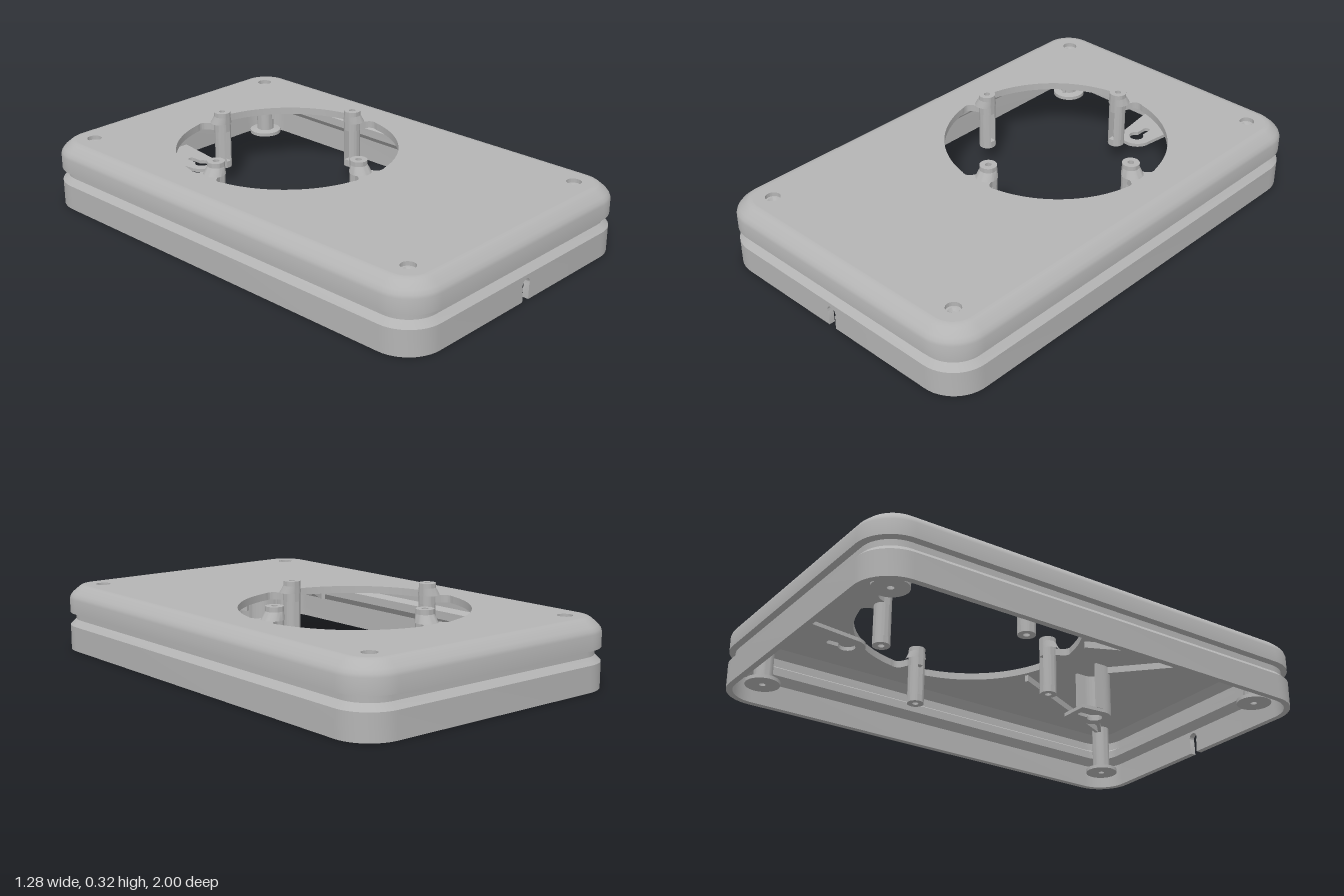
import * as THREE from 'three';
import { toCreasedNormals } from 'three/addons/utils/BufferGeometryUtils.js';

const HX = 0.64, HZ = 1, CORNER = 0.15, TOP = 0.275, HOLE_Z = -0.215;

// Rounded rectangle loop at a given inset, from front centre round to front centre
function outline(inset, gap = 0) {
  const r = CORNER - inset, cx = HX - CORNER, cz = HZ - CORNER, pts = [[-gap, HZ - inset]];
  [[-1, 1], [-1, -1], [1, -1], [1, 1]].forEach(([sx, sz], k) => {
    for (let i = 0; i <= 12; i++) {
      const a = Math.PI / 2 * (k + 1 + i / 12);
      pts.push([sx * cx + r * Math.cos(a), sz * cz + r * Math.sin(a)]);
    }
  });
  pts.push([gap, HZ - inset]);
  return pts;
}

// Sweep a closed profile of [inset, y] pairs round the outline
function sweepWall(profile, gap) {
  const pos = [], index = [], m = profile.length;
  const loops = profile.map(([inset]) => outline(inset, gap));
  const n = loops[0].length;
  for (let i = 0; i < n; i++)
    for (let j = 0; j < m; j++) pos.push(loops[j][i][0], profile[j][1], loops[j][i][1]);
  for (let i = 0; i < n - 1; i++)
    for (let j = 0; j < m; j++) {
      const a = i * m + j, b = i * m + (j + 1) % m;
      index.push(a, b, b + m, a, b + m, a + m);
    }
  const g = new THREE.BufferGeometry();
  g.setAttribute('position', new THREE.Float32BufferAttribute(pos, 3));
  g.setIndex(index);
  return g;
}

// Horizontal plate from a shape drawn in x, z
function slab(shape, yTop, depth) {
  const g = new THREE.ExtrudeGeometry(shape, { depth, bevelEnabled: false, curveSegments: 24 });
  return g.rotateX(Math.PI / 2).translate(0, yTop, 0);
}

function circlePath(x, z, r) {
  return new THREE.Path().absarc(x, z, r, 0, Math.PI * 2, true);
}

export function createModel() {
  const model = new THREE.Group();
  model.name = 'wallPlateHousing';
  const grey = new THREE.MeshStandardMaterial({ color: 0xb4b4b4 });
  grey.name = 'grey plastic';
  const add = (name, geometry, parent = model) => {
    const mesh = new THREE.Mesh(toCreasedNormals(geometry, 0.6), grey);
    mesh.name = name;
    parent.add(mesh);
    return mesh;
  };

  // Walls: plain skirt below, grooved and chamfered band above
  add('lowerWall', sweepWall([[0, 0], [0, 0.105], [0.025, 0.105], [0.025, 0]], 0.04));
  add('upperWall', sweepWall([
    [0, 0.105], [0.025, 0.13], [0.025, 0.155], [0, 0.16], [0, 0.22], [0.004, 0.232], [0.014, 0.245],
    [0.04, 0.267], [0.05, 0.273], [0.065, TOP], [0.065, 0.245], [0.03, 0.215], [0.03, 0.18],
    [0.055, 0.165], [0.055, 0.13], [0.025, 0.1]]));

  // Cable notch in the front of the skirt
  const notch = new THREE.Shape();
  notch.moveTo(-0.04, 0);
  notch.lineTo(-0.018, 0);
  notch.absarc(0, 0.068, 0.022, Math.PI + 0.5, -0.5, true);
  notch.lineTo(0.018, 0);
  notch.lineTo(0.04, 0);
  notch.lineTo(0.04, 0.105);
  notch.lineTo(-0.04, 0.105);
  add('cableNotch', new THREE.ExtrudeGeometry(notch, { depth: 0.025, bevelEnabled: false })
    .translate(0, 0, HZ - 0.025));

  // Top plate with the large opening, four tabs and screw holes
  const bossSpots = [[-0.495, -0.86], [0.495, -0.86], [-0.495, 0.855], [0.495, 0.855]];
  const plate = new THREE.Shape(outline(0.065).slice(1, -1).map(([x, z]) => new THREE.Vector2(x, z)));
  const opening = new THREE.Path();
  const R = 0.457, spread = 0.2;
  for (let k = 0; k < 4; k++) {
    const phi = k * Math.PI / 2;
    const at = (u, v) => [u * Math.cos(phi) - v * Math.sin(phi), HOLE_Z + u * Math.sin(phi) + v * Math.cos(phi)];
    const ru = R * Math.cos(spread), rv = R * Math.sin(spread);
    if (k === 0) opening.moveTo(...at(ru, -rv));
    opening.quadraticCurveTo(...at(0.464, -0.058), ...at(0.425, -0.042));
    opening.lineTo(...at(0.41, -0.036));
    opening.lineTo(...at(0.41, 0.036));
    opening.lineTo(...at(0.425, 0.042));
    opening.quadraticCurveTo(...at(0.464, 0.058), ...at(ru, rv));
    opening.absarc(0, HOLE_Z, R, phi + spread, phi + Math.PI / 2 - spread, false);
  }
  plate.holes.push(opening, ...bossSpots.map(([x, z]) => circlePath(x, z, 0.03)));
  add('topPlate', slab(plate, TOP, 0.03));

  // Four hollow posts round the opening, slotted on the inner side
  const tube = new THREE.Shape().absarc(0, 0, 0.035, 0, Math.PI * 2, false);
  tube.holes.push(circlePath(0, 0, 0.013));
  const slotted = new THREE.Shape();
  slotted.absarc(0, 0, 0.035, 0.35, Math.PI * 2 - 0.35, false);
  slotted.absarc(0, 0, 0.013, Math.PI * 2 - 1.1, 1.1, true);
  const flare = new THREE.CylinderGeometry(0.035, 0.045, 0.032, 32, 1, true);
  const fp = flare.attributes.position;
  for (let i = 0; i < fp.count; i++) if (fp.getY(i) < 0) fp.setX(i, fp.getX(i) - 0.01);
  flare.translate(0, 0.29, 0);
  for (let k = 0; k < 4; k++) {
    const a = k * Math.PI / 2, post = new THREE.Group();
    post.name = 'mountingPost';
    post.position.set(0.395 * Math.cos(a), 0, HOLE_Z + 0.395 * Math.sin(a));
    post.rotation.y = Math.PI - a;
    add('postTop', slab(tube, 0.325, 0.085), post);
    add('postSlot', slab(slotted, 0.24, 0.135), post);
    add('postFoot', slab(tube, 0.105, 0.03), post);
    add('postFlare', flare, post);
    model.add(post);
  }

  // Corner screw bosses with flanged feet
  const bossProfile = [[0.013, 0.03], [0.07, 0.03], [0.07, 0.045], [0.038, 0.05], [0.038, 0.258],
    [0.022, 0.258], [0.013, 0.245], [0.013, 0.03]].map(([r, y]) => new THREE.Vector2(r, y));
  for (const [x, z] of bossSpots)
    add('screwBoss', new THREE.LatheGeometry(bossProfile, 32)).position.set(x, 0, z);

  // Keyhole hanger plates: one in a half-round housing, one on the back wall
  const keyhole = (z) => {
    const p = new THREE.Path();
    p.absarc(0, z, 0.032, -Math.PI / 2 + 0.45, Math.PI * 1.5 - 0.45, false);
    p.absarc(0, z - 0.07, 0.014, Math.PI, Math.PI * 2, false);
    return p;
  };
  const hangerPlate = (z, back, halfBack) => {
    const s = new THREE.Shape();
    s.absarc(0, z, 0.07, 0, Math.PI, false);
    s.lineTo(-halfBack, back);
    s.lineTo(halfBack, back);
    s.holes.push(keyhole(z));
    return slab(s, 0.045, 0.015);
  };
  add('frontHangerPlate', hangerPlate(0.42, 0.31, 0.06));
  add('backHangerPlate', hangerPlate(-0.755, -0.975, 0.1));
  const halfRound = new THREE.Shape();
  halfRound.absarc(0, 0.42, 0.07, 0, Math.PI, false);
  halfRound.lineTo(-0.07, 0.38);
  halfRound.lineTo(-0.058, 0.38);
  halfRound.absarc(0, 0.42, 0.058, Math.PI, 0, true);
  halfRound.lineTo(0.058, 0.38);
  halfRound.lineTo(0.07, 0.38);
  add('frontHangerWall', slab(halfRound, 0.25, 0.206));

  // Stiffening ribs under the plate
  const rib = (x0, z0, x1, z1) => {
    const dx = x1 - x0, dz = z1 - z0;
    const mesh = add('rib', new THREE.BoxGeometry(0.014, 0.03, Math.hypot(dx, dz)));
    mesh.position.set((x0 + x1) / 2, 0.232, (z0 + z1) / 2);
    mesh.rotation.y = Math.atan2(dx, dz);
  };
  for (const [x, z] of bossSpots) {
    const t = 0.475 / Math.hypot(x, z - HOLE_Z);
    rib(x, z, x * t, HOLE_Z + (z - HOLE_Z) * t);
    if (z > 0) rib(x, z, Math.sign(x) * 0.06, 0.45);
  }
  return model;
}
